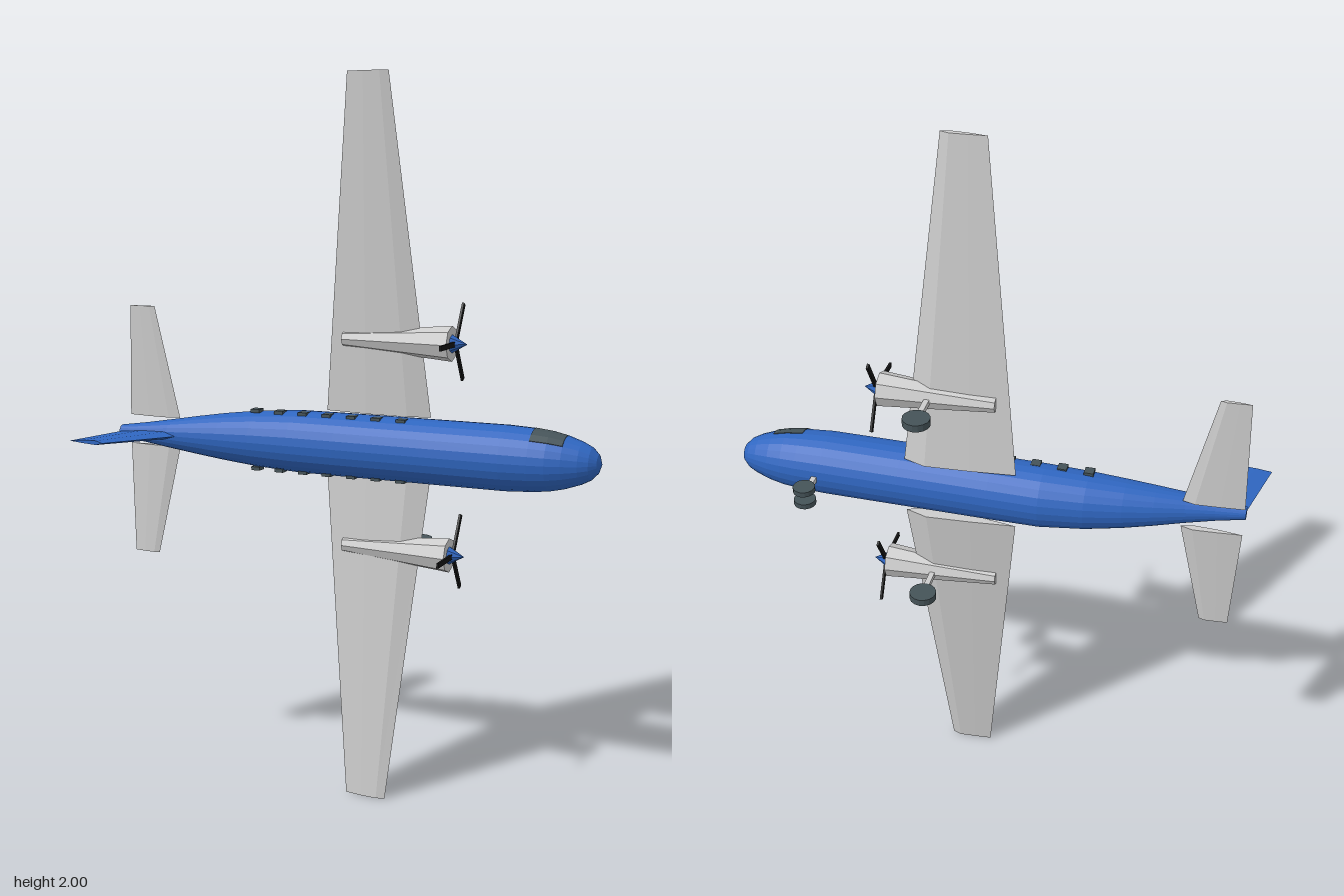
import * as THREE from 'three';

const mat = (color) => new THREE.MeshStandardMaterial({ color, flatShading: true });
const blue = mat(0x2f66c0), grey = mat(0xcccccc), dark = mat(0x455358), black = mat(0x151515);
const V = (x, y, z) => new THREE.Vector3(x, y, z);

function add(parent, name, geometry, material, x = 0, y = 0, z = 0) {
  const mesh = new THREE.Mesh(geometry, material);
  mesh.name = name;
  mesh.position.set(x, y, z);
  parent.add(mesh);
  return mesh;
}

// Closed solid through rings of points, wound outward by its signed volume
function loft(rings) {
  const n = rings[0].length, tris = [];
  for (let i = 0; i < rings.length - 1; i++)
    for (let j = 0; j < n; j++) {
      const k = (j + 1) % n, a = rings[i], b = rings[i + 1];
      tris.push([a[j], b[j], b[k]], [a[j], b[k], a[k]]);
    }
  const first = rings[0], last = rings[rings.length - 1];
  for (let j = 1; j < n - 1; j++) {
    tris.push([first[0], first[j], first[j + 1]], [last[0], last[j + 1], last[j]]);
  }
  const origin = first[0];
  let volume = 0;
  for (const [a, b, c] of tris)
    volume += a.clone().sub(origin).dot(b.clone().sub(origin).cross(c.clone().sub(origin)));
  const pos = [];
  for (const t of tris) for (const p of volume < 0 ? [...t].reverse() : t) pos.push(p.x, p.y, p.z);
  const g = new THREE.BufferGeometry();
  g.setAttribute('position', new THREE.Float32BufferAttribute(pos, 3));
  g.computeVertexNormals();
  return g;
}

// Fuselage stations: x, centre z, radius
const stations = [
  [-0.68, 0.018, 0.018], [-0.6, 0.011, 0.029], [-0.52, 0.002, 0.042], [-0.44, -0.01, 0.055],
  [-0.36, -0.021, 0.067], [-0.26, -0.032, 0.079], [-0.14, -0.04, 0.087], [0, -0.04, 0.088],
  [0.25, -0.04, 0.088], [0.47, -0.04, 0.088], [0.545, -0.042, 0.084], [0.59, -0.043, 0.079],
  [0.63, -0.045, 0.07], [0.67, -0.047, 0.056], [0.695, -0.049, 0.043], [0.712, -0.051, 0.025],
  [0.72, -0.053, 0.002],
];
const SIDES = 24;
const ringPoint = ([x, cz, r], j, grow = 0) => {
  const a = (j / SIDES) * Math.PI * 2;
  return V(x, Math.cos(a) * (r + grow), cz + Math.sin(a) * (r + grow));
};

// Six-point aerofoil: chord fraction from the leading edge, thickness fraction
const foil = [[0, 0], [0.2, 0.5], [0.6, 0.4], [1, 0], [0.6, -0.3], [0.2, -0.5]];
const foilRing = (lead, trail, thick, place) =>
  foil.map(([c, t]) => place(lead + (trail - lead) * c, t * thick));

function engine(y) {
  const g = new THREE.Group();
  g.name = 'engine';
  g.position.set(0, y, -0.07);
  const nacelle = new THREE.CylinderGeometry(0.048, 0.021, 0.315, 8).rotateZ(-Math.PI / 2);
  add(g, 'nacelle', nacelle, grey, 0.1425, 0, 0);
  const spinner = new THREE.ConeGeometry(0.026, 0.045, 8).rotateZ(-Math.PI / 2);
  add(g, 'spinner', spinner, blue, 0.3205, 0, 0);
  for (let i = 0; i < 3; i++) {
    const blade = new THREE.BoxGeometry(0.006, 0.014, 0.118).translate(0, 0, 0.059);
    add(g, 'propellerBlade', blade, black, 0.31).rotation.x = (i * Math.PI * 2) / 3;
  }
  return g;
}

function landingGear(name, x, y, z, radius, width, wheelOffsets) {
  const g = new THREE.Group();
  g.name = name;
  g.position.set(x, y, 0);
  const top = -0.09;
  add(g, 'strut', new THREE.BoxGeometry(0.015, 0.015, top - z), grey, 0, 0, (top + z) / 2);
  for (const dy of wheelOffsets)
    add(g, 'wheel', new THREE.CylinderGeometry(radius, radius, width, 16), dark, 0, dy, z);
  return g;
}

export function createModel() {
  const root = new THREE.Group();
  root.name = 'aircraft';
  const plane = new THREE.Group();
  plane.name = 'airframe';
  plane.position.y = 1;
  root.add(plane);

  // Body with upswept tail and rounded nose
  const rings = stations.map((s) => Array.from({ length: SIDES }, (_, j) => ringPoint(s, j)));
  add(plane, 'fuselage', loft(rings), blue);

  // Cockpit window, a thin shell over the nose
  const shell = stations.slice(10, 13).map((s) => [
    ...[0, 1, 2, 3].map((j) => ringPoint(s, j, 0.002)),
    ...[3, 2, 1, 0].map((j) => ringPoint(s, j, -0.004)),
  ]);
  add(plane, 'cockpitWindow', loft(shell), dark);

  // Upright tail fin
  const fin = loft([
    foilRing(-0.48, -0.68, 0.022, (x, t) => V(x, t, 0.03)),
    foilRing(-0.618, -0.725, 0.012, (x, t) => V(x, t, 0.222)),
  ]);
  add(plane, 'tailFin', fin, blue);

  for (const s of [1, -1]) {
    // Main wing, tapered and rising toward the tip
    const wing = loft([
      foilRing(0.236, -0.073, 0.042, (x, t) => V(x, s * 0.085, -0.086 + t)),
      foilRing(0.138, 0.02, 0.015, (x, t) => V(x, s * 1, -0.009 + t)),
    ]);
    add(plane, 'wing', wing, grey);

    // Tailplane
    const tail = loft([
      foilRing(-0.513, -0.678, 0.02, (x, t) => V(x, s * 0.042, -0.026 + t)),
      foilRing(-0.585, -0.665, 0.01, (x, t) => V(x, s * 0.362, -0.016 + t)),
    ]);
    add(plane, 'tailplane', tail, grey);

    plane.add(engine(s * 0.29));
    plane.add(landingGear('mainGear', 0.163, s * 0.29, -0.194, 0.037, 0.02, [0]));

    // Cabin windows
    for (let i = 0; i < 7; i++)
      add(plane, 'cabinWindow', new THREE.BoxGeometry(0.026, 0.01, 0.028), dark,
        -0.258 + i * 0.073, s * 0.082, -0.016);
  }

  plane.add(landingGear('noseGear', 0.486, 0, -0.2, 0.03, 0.015, [0.02, -0.02]));
  return root;
}
